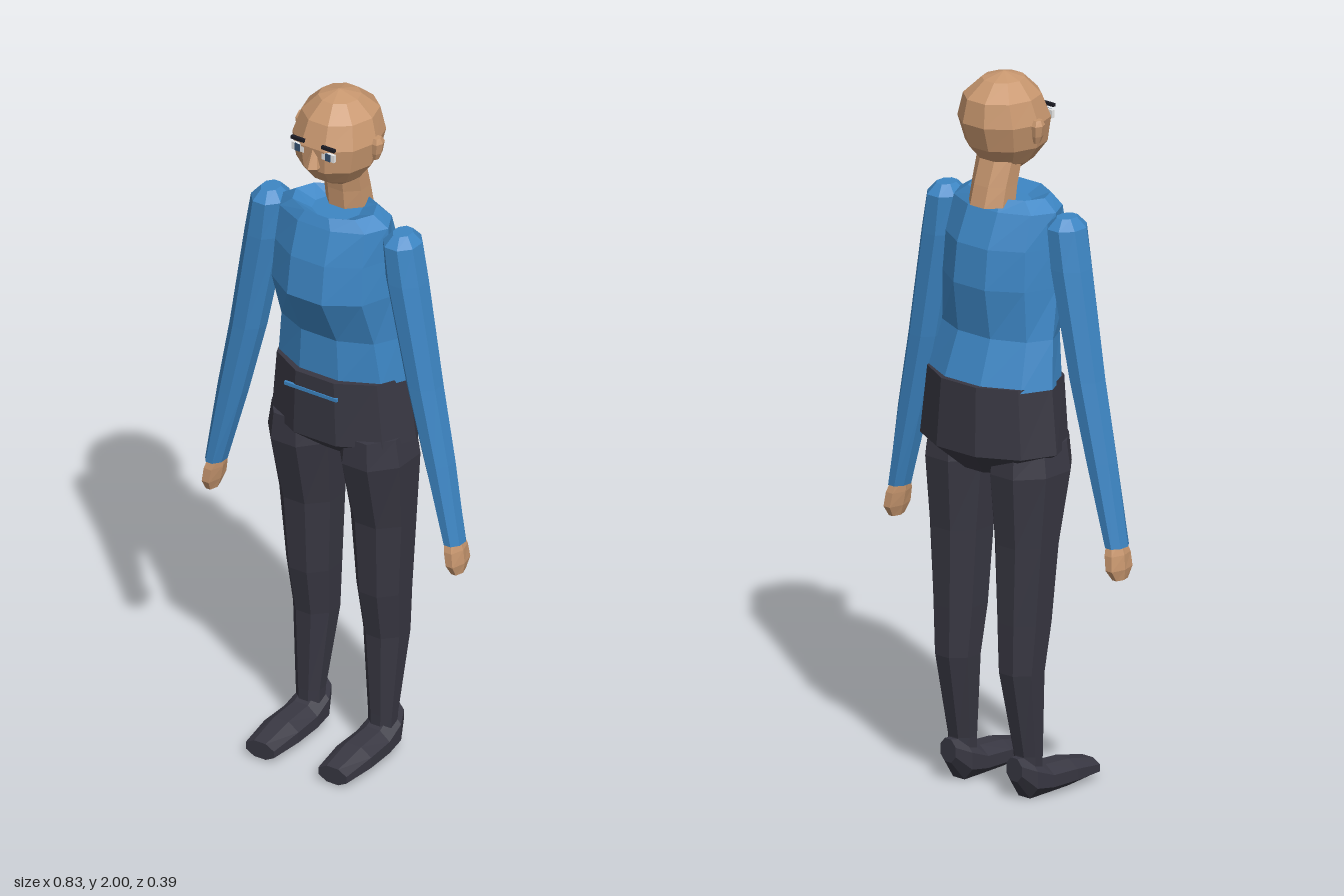
import * as THREE from 'three';

const mat = (name, color) => {
  const m = new THREE.MeshStandardMaterial({ color });
  m.name = name;
  return m;
};

// Closed faceted loft. Each ring is [height, xMin, xMax, zMin, zMax], listed bottom to top.
function loft(rings, n, offset = 0) {
  const angles = Array.from({ length: n }, (_, i) => ((i + offset) / n) * Math.PI * 2);
  const maxC = Math.max(...angles.map(a => Math.abs(Math.cos(a))));
  const maxS = Math.max(...angles.map(a => Math.abs(Math.sin(a))));
  const pos = [], idx = [];
  const centre = ([y, x0, x1, z0, z1]) => [(x0 + x1) / 2, y, (z0 + z1) / 2];
  for (const r of rings) {
    const [cx, y, cz] = centre(r);
    for (const a of angles) {
      pos.push(cx + (r[2] - r[1]) / 2 * Math.cos(a) / maxC, y, cz + (r[4] - r[3]) / 2 * Math.sin(a) / maxS);
    }
  }
  const last = (rings.length - 1) * n, bottom = rings.length * n, top = bottom + 1;
  pos.push(...centre(rings[0]), ...centre(rings[rings.length - 1]));
  for (let i = 0; i < n; i++) {
    const k = (i + 1) % n;
    for (let j = 0; j < last; j += n) {
      idx.push(j + i, j + n + i, j + k, j + k, j + n + i, j + n + k);
    }
    idx.push(bottom, i, k, top, last + k, last + i);
  }
  const g = new THREE.BufferGeometry();
  g.setAttribute('position', new THREE.Float32BufferAttribute(pos, 3));
  g.setIndex(idx);
  const flat = g.toNonIndexed();
  flat.computeVertexNormals();
  return flat;
}

const sym = rings => rings.map(([y, r, z0, z1]) => [y, -r, r, z0, z1]);
const sided = (rings, s) => rings.map(([y, a, b, z0, z1]) => (s > 0 ? [y, a, b, z0, z1] : [y, -b, -a, z0, z1]));

export function createModel() {
  const skin = mat('skin', 0xc8976f);
  const shirt = mat('shirt blue', 0x3d86c4);
  const trousers = mat('dark trousers', 0x383742);
  const dark = mat('brow dark', 0x1c1c24);
  const white = mat('eye white', 0xe8e8e8);
  const iris = mat('iris blue', 0x35506e);

  const model = new THREE.Group();
  model.name = 'standingPerson';
  const add = (name, geometry, material, x = 0, y = 0, z = 0) => {
    const m = new THREE.Mesh(geometry, material);
    m.name = name;
    m.position.set(x, y, z);
    model.add(m);
    return m;
  };

  // Sweater body, with a shallow neckline at the top
  add('sweater', loft(sym([
    [1.16, 0.205, -0.17, 0.095],
    [1.29, 0.185, -0.12, 0.095],
    [1.43, 0.18, -0.14, 0.163],
    [1.54, 0.175, -0.127, 0.148],
    [1.635, 0.17, -0.085, 0.118],
    [1.665, 0.125, -0.062, 0.105],
    [1.64, 0.07, -0.05, 0.07],
  ]), 10), shirt);

  // Hips of the trousers
  add('hips', loft(sym([
    [0.91, 0.1, -0.12, 0.03],
    [0.98, 0.222, -0.193, 0.115],
    [1.17, 0.2, -0.182, 0.115],
  ]), 10), trousers);
  add('shirtHem', new THREE.BoxGeometry(0.17, 0.01, 0.008), shirt, -0.012, 1.122, 0.114);

  // Neck leaning forward into the head
  add('neck', loft(sym([
    [1.645, 0.06, -0.108, 0.012],
    [1.7, 0.06, -0.092, 0.018],
    [1.79, 0.062, -0.06, 0.035],
  ]), 8, 0.5), skin);

  // Faceted head
  add('head', loft(sym([
    [1.737, 0.045, -0.025, 0.05],
    [1.757, 0.072, -0.06, 0.08],
    [1.805, 0.108, -0.1, 0.117],
    [1.875, 0.122, -0.123, 0.124],
    [1.94, 0.102, -0.112, 0.098],
    [1.984, 0.057, -0.06, 0.055],
    [2.0, 0.004, -0.004, 0.004],
  ]), 10), skin);

  // Nose wedge
  add('nose', loft(sym([
    [1.803, 0.012, 0.09, 0.125],
    [1.82, 0.021, 0.09, 0.147],
    [1.87, 0.01, 0.09, 0.125],
  ]), 6, 0.5), skin);

  for (const s of [1, -1]) {
    const side = s > 0 ? 'left' : 'right';

    // Ears, eyes and brows
    add(side + 'Ear', loft(sided([
      [1.825, 0.112, 0.126, -0.012, 0.008],
      [1.845, 0.11, 0.134, -0.018, 0.014],
      [1.875, 0.11, 0.139, -0.022, 0.016],
      [1.89, 0.112, 0.132, -0.014, 0.01],
    ], s), 6), skin);
    add(side + 'Eye', new THREE.BoxGeometry(0.04, 0.022, 0.009), white, s * 0.049, 1.863, 0.119);
    add(side + 'Iris', new THREE.BoxGeometry(0.016, 0.022, 0.005), iris, s * 0.049, 1.863, 0.123);
    add(side + 'Brow', new THREE.BoxGeometry(0.042, 0.009, 0.009), dark, s * 0.049, 1.888, 0.121);

    // Sleeve and hand
    add(side + 'Sleeve', loft(sided([
      [0.75, 0.36, 0.412, -0.018, 0.053],
      [0.98, 0.295, 0.374, -0.028, 0.056],
      [1.2, 0.238, 0.332, -0.036, 0.06],
      [1.5, 0.175, 0.282, -0.045, 0.068],
      [1.61, 0.165, 0.262, -0.045, 0.068],
      [1.638, 0.19, 0.238, -0.02, 0.042],
    ], s), 8, 0.5), shirt);
    add(side + 'Hand', loft(sided([
      [0.66, 0.383, 0.412, -0.006, 0.04],
      [0.69, 0.373, 0.417, -0.026, 0.057],
      [0.73, 0.365, 0.413, -0.022, 0.055],
      [0.77, 0.362, 0.4, -0.008, 0.043],
    ], s), 6), skin);

    // Trouser leg
    add(side + 'Leg', loft(sided([
      [0.06, 0.08, 0.152, -0.068, 0.0],
      [0.12, 0.078, 0.156, -0.07, 0.0],
      [0.36, 0.055, 0.172, -0.12, 0.005],
      [0.5, 0.045, 0.182, -0.122, 0.03],
      [0.72, 0.033, 0.198, -0.124, 0.045],
      [0.92, 0.018, 0.213, -0.14, 0.095],
      [1.0, 0.03, 0.2, -0.13, 0.09],
    ], s), 8, 0.5), trousers);

    // Shoe, lofted from heel to toe and laid flat (z bounds become negated heights)
    const shoe = loft(sided([
      [-0.092, 0.09, 0.145, -0.12, -0.055],
      [-0.05, 0.068, 0.165, -0.115, 0],
      [0.01, 0.064, 0.17, -0.082, 0],
      [0.1, 0.062, 0.173, -0.075, 0],
      [0.2, 0.072, 0.163, -0.052, -0.004],
    ], s), 8, 0.5);
    shoe.rotateX(Math.PI / 2);
    add(side + 'Shoe', shoe, trousers);
  }
  return model;
}
